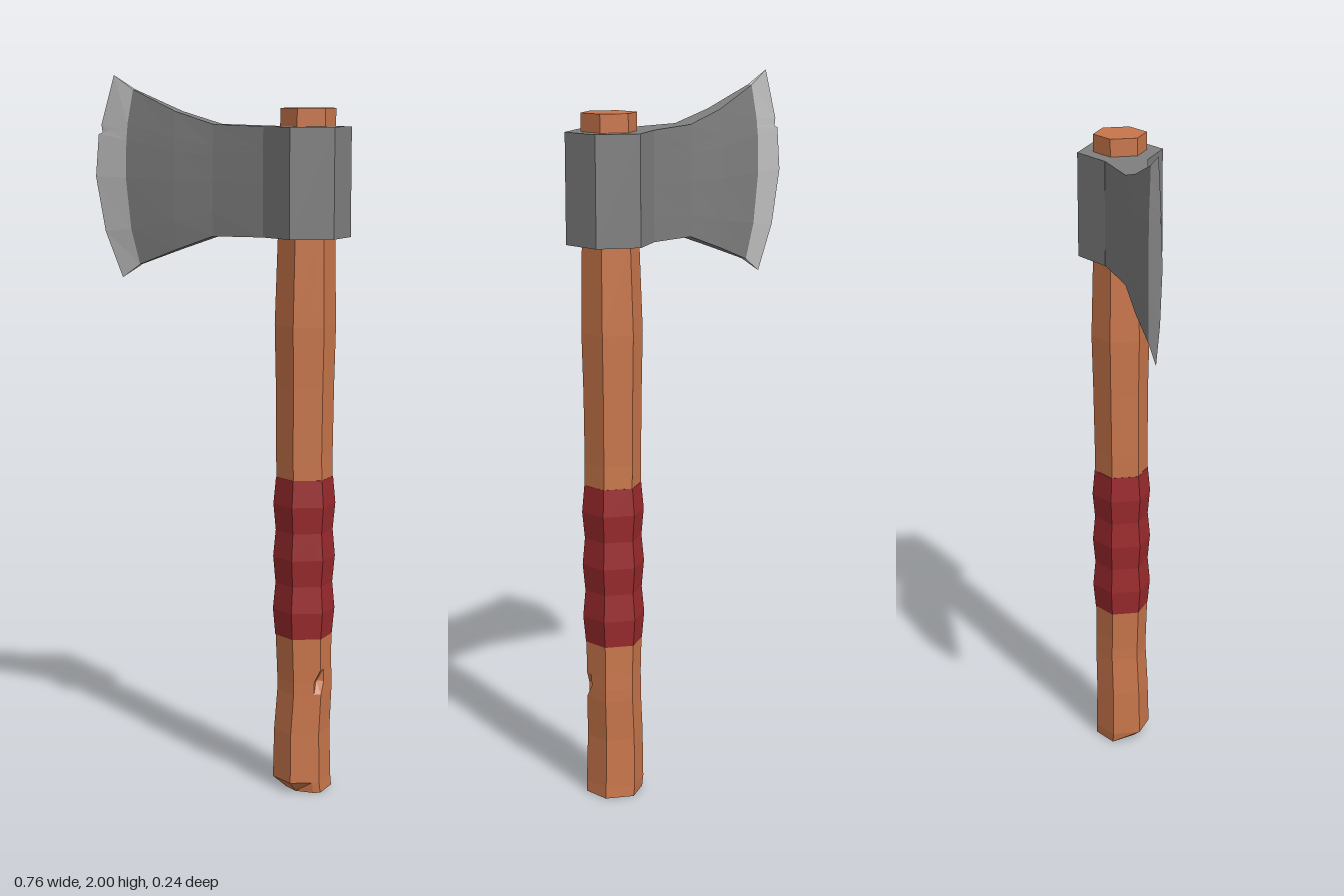
import * as THREE from 'three';

const mat = (name, color) => Object.assign(new THREE.MeshStandardMaterial({ color, flatShading: true }), { name });

// Joins equal-length loops of points into a closed, faceted skin.
function loft(name, rings, material) {
  const pos = [];
  const tri = (a, b, c) => pos.push(...a, ...b, ...c);
  const n = rings[0].length;
  for (let j = 0; j < rings.length - 1; j++) {
    for (let i = 0; i < n; i++) {
      const k = (i + 1) % n;
      tri(rings[j][i], rings[j][k], rings[j + 1][k]);
      tri(rings[j][i], rings[j + 1][k], rings[j + 1][i]);
    }
  }
  const centre = (ring) => [0, 1, 2].map((c) => ring.reduce((s, p) => s + p[c], 0) / n);
  const first = rings[0], last = rings[rings.length - 1];
  for (let i = 0; i < n; i++) {
    const k = (i + 1) % n;
    tri(first[k], first[i], centre(first));
    tri(last[i], last[k], centre(last));
  }
  const geo = new THREE.BufferGeometry();
  geo.setAttribute('position', new THREE.Float32BufferAttribute(pos, 3));
  geo.computeVertexNormals();
  const mesh = new THREE.Mesh(geo, material);
  mesh.name = name;
  return mesh;
}

// Six-sided handle section; the +x +z corner is split in three so it can be chipped.
function handleRing([y, r, dx = 0, dz = 0, chip = 0]) {
  const hex = [];
  for (let k = 0; k < 6; k++) {
    const a = k * Math.PI / 3;
    hex.push([0.268 + dx + r * Math.sin(a), y, dz + r * Math.cos(a)]);
  }
  const mix = (p, q, t) => p.map((v, c) => v + (q[c] - v) * t);
  const corner = mix(hex[1], [0.268 + dx, y, dz], chip);
  return [hex[0], mix(hex[1], hex[0], 0.25), corner, mix(hex[1], hex[2], 0.25), ...hex.slice(2)];
}

export function createModel() {
  const wood = mat('wood', 0xc9764b);
  const wrapRed = mat('wrap red', 0x9a2a2d);
  const steel = mat('steel', 0x7f7f7f);
  const edgeSteel = mat('edge steel', 0xc2c2c2);
  const axe = new THREE.Group();
  axe.name = 'axe';

  // Handle: chipped grip, ridged wrap, upper shaft
  const lower = [
    [0, 0.08, 0.002], [0.03, 0.082, -0.002, 0.002], [0.17, 0.079, -0.003, 0.001],
    [0.285, 0.077, 0.003, -0.002], [0.32, 0.077, 0.003, -0.002, 0.3], [0.355, 0.077, 0.002, -0.001],
    [0.45, 0.079],
  ].map(handleRing);
  // Worn bottom corner
  lower[0][0][2] -= 0.025;
  lower[0][7][0] += 0.03;
  lower[0][7][2] -= 0.01;
  axe.add(loft('lowerHandle', lower, wood));

  const wrap = [];
  for (let i = 0; i <= 6; i++) wrap.push(handleRing([0.445 + i * 0.075, i % 2 ? 0.087 : 0.08]));
  axe.add(loft('gripWrap', wrap, wrapRed));

  axe.add(loft('upperHandle', [
    [0.895, 0.079], [0.96, 0.079, -0.001], [1.15, 0.081, -0.001, -0.001], [1.32, 0.085, -0.001, -0.001],
    [1.56, 0.079, 0.001], [1.91, 0.076, 0.004],
  ].map(handleRing), wood));

  // Collar around the handle
  const collar = new THREE.Mesh(new THREE.CylinderGeometry(0.121, 0.121, 0.3, 6), steel);
  collar.name = 'headCollar';
  collar.position.set(0.27, 1.71, 0);
  axe.add(collar);

  // Blade rows run from bottom to top: [x, y, half thickness]
  const bevelStart = [
    [-0.24, 1.47, 0.009], [-0.265, 1.57, 0.014], [-0.28, 1.715, 0.017], [-0.278, 1.82, 0.016],
    [-0.276, 1.845, 0.015], [-0.275, 1.865, 0.014], [-0.26, 1.96, 0.008],
  ];
  const cuttingEdge = [
    [-0.3, 1.43, 0], [-0.355, 1.56, 0], [-0.385, 1.715, 0], [-0.375, 1.835, 0],
    [-0.343, 1.845, 0.004], [-0.366, 1.862, 0], [-0.325, 2.0, 0],
  ];
  const column = (x, y0, y1, zMid, zEnd) => bevelStart.map(([, y]) => {
    const t = (y - 1.47) / 0.49;
    const bulge = 1 - (2 * t - 1) ** 2;
    return [x, y0 + (y1 - y0) * t, zEnd + (zMid - zEnd) * bulge];
  });
  const loop = (rows) => [
    ...rows,
    ...[...rows].reverse().map(([x, y, z]) => [x, y, -z]),
  ];
  axe.add(loft('blade', [
    column(0.167, 1.56, 1.86, 0.061, 0.06),
    column(0.0, 1.557, 1.865, 0.034, 0.031),
    column(-0.12, 1.515, 1.9, 0.031, 0.024),
    bevelStart,
  ].map(loop), steel));
  axe.add(loft('cuttingEdge', [bevelStart, cuttingEdge].map(loop), edgeSteel));

  return axe;
}
